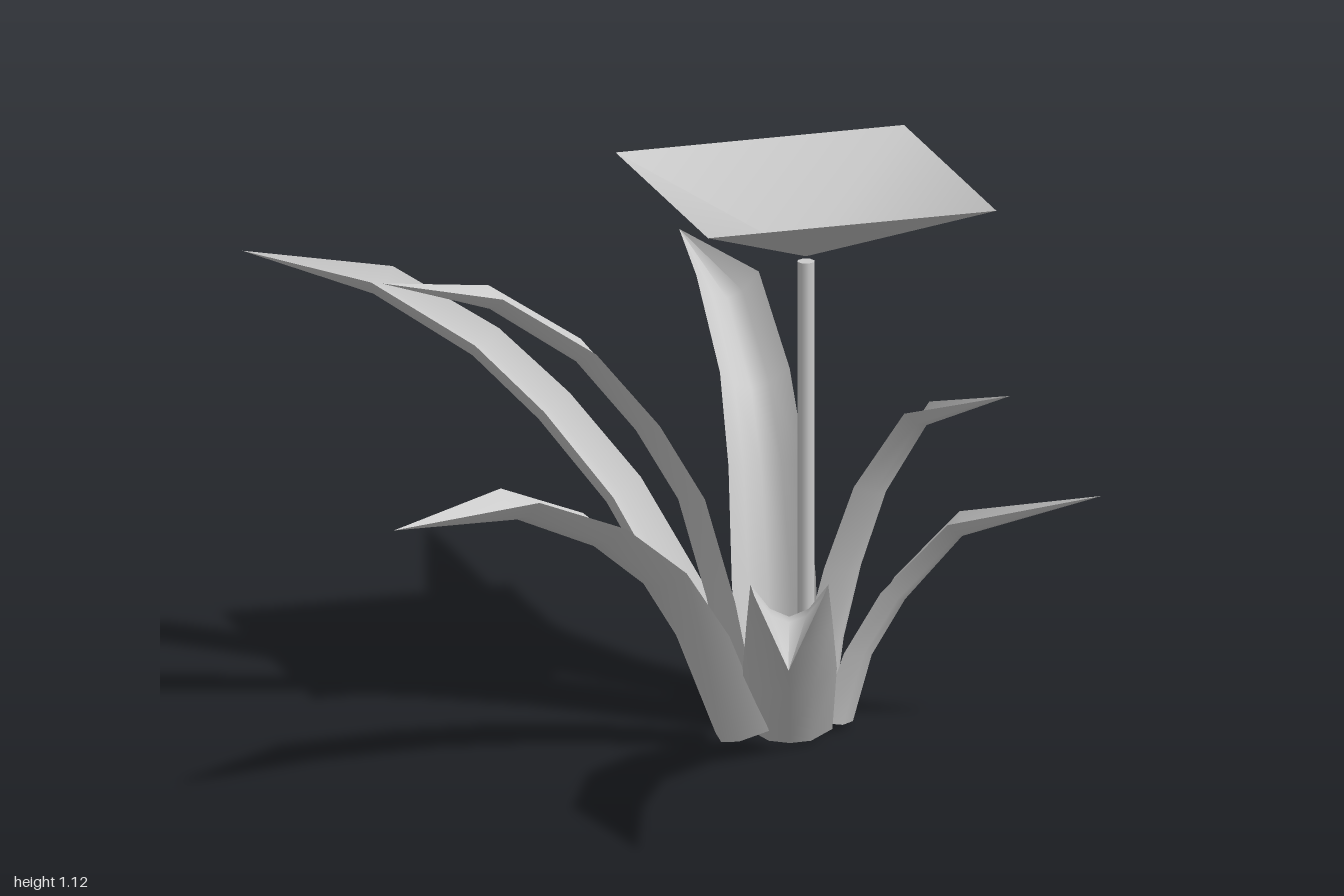
import * as THREE from 'three';

const leafMaterial = new THREE.MeshStandardMaterial({ color: 0xcccccc, side: THREE.DoubleSide });
const stemMaterial = new THREE.MeshStandardMaterial({ color: 0xcccccc });

// base and tip are [x, z]; profile lists [fraction from base to tip, height] of the leaf rims
const leaves = [
  { name: 'backLeaf', base: [0.212, -0.06], tip: [0.302, -1], width: 0.086, depth: 0.06,
    profile: [[0, 0.02], [0.06, 0.25], [0.13, 0.48], [0.25, 0.64], [0.52, 0.765], [1, 0.72]] },
  { name: 'backSideLeaf', base: [0.12, -0.02], tip: [-0.71, -0.7], width: 0.08, depth: 0.05,
    profile: [[0, 0.02], [0.1, 0.24], [0.23, 0.46], [0.37, 0.62], [0.51, 0.74], [0.72, 0.845], [1, 0.86]] },
  { name: 'sideLeaf', base: [0.13, 0.01], tip: [-0.64, -0.01], width: 0.068, depth: 0.04,
    profile: [[0, 0.02], [0.07, 0.28], [0.15, 0.5], [0.27, 0.66], [0.44, 0.82], [0.69, 0.95], [1, 0.99]] },
  { name: 'frontSideLeaf', base: [0.085, 0.11], tip: [-0.755, 0.43], width: 0.084, depth: 0.055,
    profile: [[0, 0.04], [0.12, 0.26], [0.235, 0.41], [0.4, 0.53], [0.64, 0.625], [1, 0.615]] },
  { name: 'frontLeaf', base: [0.175, 0.12], tip: [-0.11, 1], width: 0.094, depth: 0.065,
    profile: [[0, 0.02], [0.15, 0.19], [0.27, 0.32], [0.48, 0.46], [0.75, 0.515], [1, 0.43]] },
  { name: 'tallCornerLeaf', base: [0.23, 0.06], tip: [0.54, 0.42], width: 0.065, depth: 0.045,
    profile: [[0, 0.02], [0.07, 0.2], [0.16, 0.36], [0.3, 0.54], [0.54, 0.71], [1, 0.77]] },
  { name: 'lowCornerLeaf', base: [0.275, 0.05], tip: [0.755, 0.35], width: 0.065, depth: 0.045,
    profile: [[0, 0.02], [0.09, 0.17], [0.22, 0.3], [0.46, 0.45], [1, 0.52]] },
];

function smoothGeometry(positions, index) {
  const geometry = new THREE.BufferGeometry();
  geometry.setAttribute('position', new THREE.Float32BufferAttribute(positions, 3));
  geometry.setIndex(index);
  geometry.computeVertexNormals();
  return geometry;
}

// Gutter-shaped blade swept along its profile, narrowing to a point
function leafGeometry({ base, tip, width, depth, profile }) {
  const across = 4;
  const dx = tip[0] - base[0], dz = tip[1] - base[1];
  const length = Math.hypot(dx, dz);
  const dirX = dx / length, dirZ = dz / length;
  const last = profile.length - 1;
  const positions = [], index = [];
  profile.forEach(([t, y], i) => {
    const before = profile[Math.max(i - 1, 0)], after = profile[Math.min(i + 1, last)];
    const run = (after[0] - before[0]) * length, rise = after[1] - before[1];
    const step = Math.hypot(run, rise);
    const taper = i === last ? 0 : i === 0 ? 0.9 : 1 - 0.26 * (i - 1) / (last - 2);
    const hollow = i === last ? 0 : i === 0 ? depth * 1.25 : depth * Math.min(1, taper * 1.2);
    for (let j = 0; j <= across; j++) {
      const u = (j / across) * 2 - 1;
      const sink = hollow * (1 - u * u);
      const r = t * length + sink * rise / step;
      const side = u * width * taper;
      positions.push(
        base[0] + dirX * r - dirZ * side,
        Math.max(0.01, y - sink * run / step),
        base[1] + dirZ * r + dirX * side);
      if (i < last && j < across) {
        const a = i * (across + 1) + j, b = a + across + 1;
        index.push(a, a + 1, b);
        if (i < last - 1) index.push(a + 1, b + 1, b);
      }
    }
  });
  return smoothGeometry(positions, index);
}

// Half of an open upside-down pyramid: two sides smoothed into one another
function petalGeometry(half, height) {
  const corners = [[-half, -half], [half, -half], [half, half]];
  const positions = [0, 0, 0, ...corners.flatMap(([x, z]) => [x, height, z])];
  return smoothGeometry(positions, [0, 2, 1, 0, 3, 2]);
}

export function createModel() {
  const group = new THREE.Group();

  for (const leaf of leaves) {
    const mesh = new THREE.Mesh(leafGeometry(leaf), leafMaterial);
    mesh.name = leaf.name;
    group.add(mesh);
  }

  // Slender flower stalk
  const stem = new THREE.Mesh(new THREE.CylinderGeometry(0.018, 0.018, 0.955, 8), stemMaterial);
  stem.name = 'stem';
  stem.position.set(0.247, 0.4775, 0);
  group.add(stem);

  // Flower head: open square funnel made of two mirrored halves
  const head = new THREE.Group();
  head.name = 'flowerHead';
  head.position.set(0.247, 0.965, 0);
  const petal = petalGeometry(0.302, 0.156);
  for (const angle of [0, Math.PI]) {
    const mesh = new THREE.Mesh(petal, leafMaterial);
    mesh.name = 'petal';
    mesh.rotation.y = angle;
    head.add(mesh);
  }
  group.add(head);

  return group;
}
